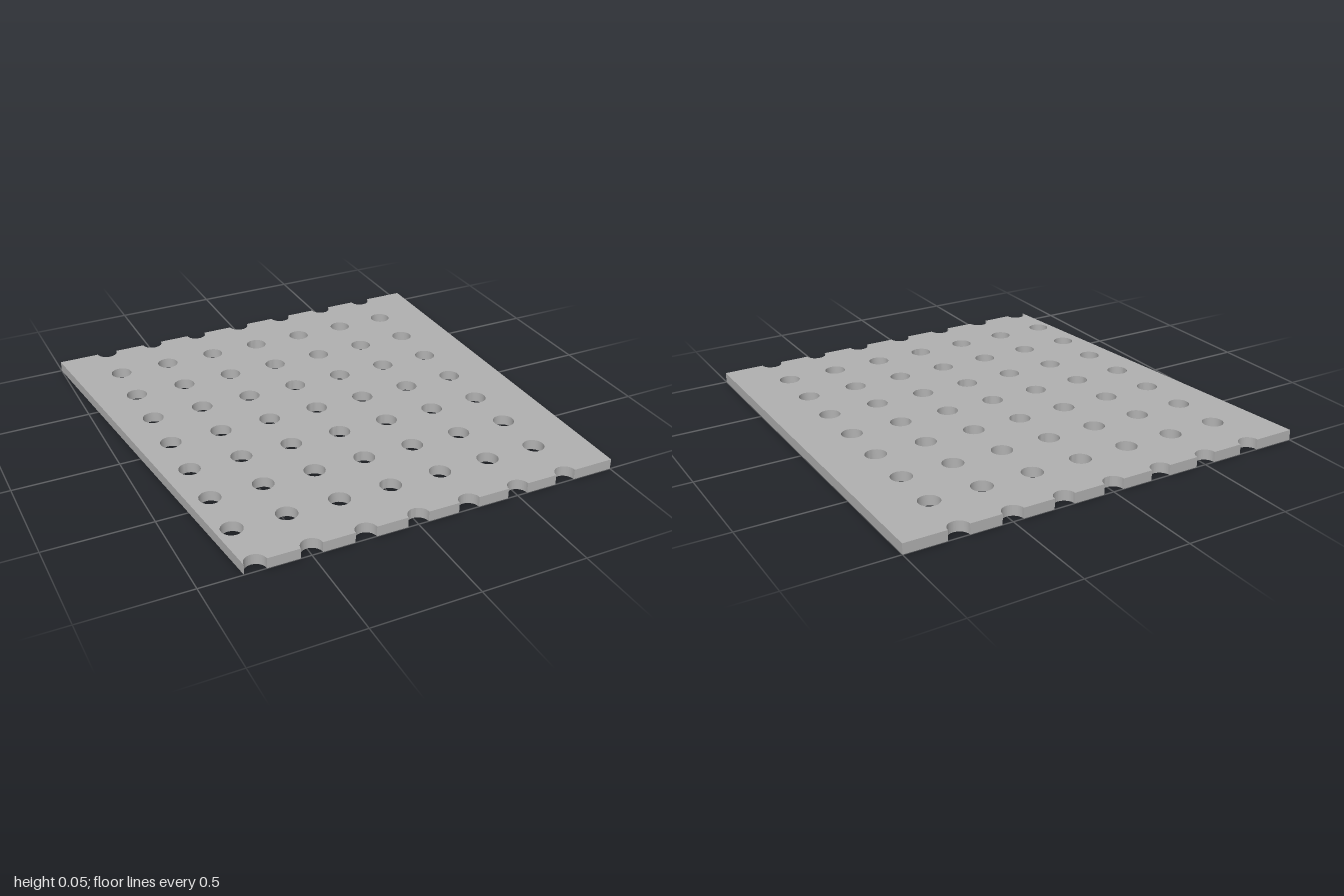
import * as THREE from 'three';
import { toCreasedNormals } from 'three/addons/utils/BufferGeometryUtils.js';

const THICKNESS = 0.05;
const RADIUS = 0.05;
const PITCH = 0.25;

// Square outline with half-round notches along the front and back edges
function plateOutline() {
  const shape = new THREE.Shape();
  shape.moveTo(-1, -1);
  for (let i = -3; i <= 3; i++) shape.absarc(i * PITCH, -1, RADIUS, Math.PI, 0, true);
  shape.lineTo(1, -1);
  shape.lineTo(1, 1);
  for (let i = 3; i >= -3; i--) shape.absarc(i * PITCH, 1, RADIUS, 0, -Math.PI, true);
  shape.lineTo(-1, 1);
  shape.closePath();
  return shape;
}

export function createModel() {
  const group = new THREE.Group();
  group.name = 'perforatedPanel';
  const grey = new THREE.MeshStandardMaterial({ color: 0xb2b2b2 });
  grey.name = 'plain grey';

  // Regular grid of round through-holes
  const shape = plateOutline();
  for (let i = -3; i <= 3; i++) {
    for (let j = -3; j <= 3; j++) {
      const hole = new THREE.Path();
      hole.absarc(i * PITCH, j * PITCH, RADIUS, 0, Math.PI * 2, true);
      shape.holes.push(hole);
    }
  }

  // Plate laid flat, with smooth hole walls and sharp rims
  const extruded = new THREE.ExtrudeGeometry(shape, {
    depth: THICKNESS, bevelEnabled: false, curveSegments: 16,
  });
  extruded.rotateX(-Math.PI / 2);
  const geometry = toCreasedNormals(extruded, 0.5);
  geometry.clearGroups();
  const plate = new THREE.Mesh(geometry, grey);
  plate.name = 'perforatedPlate';
  group.add(plate);
  return group;
}
